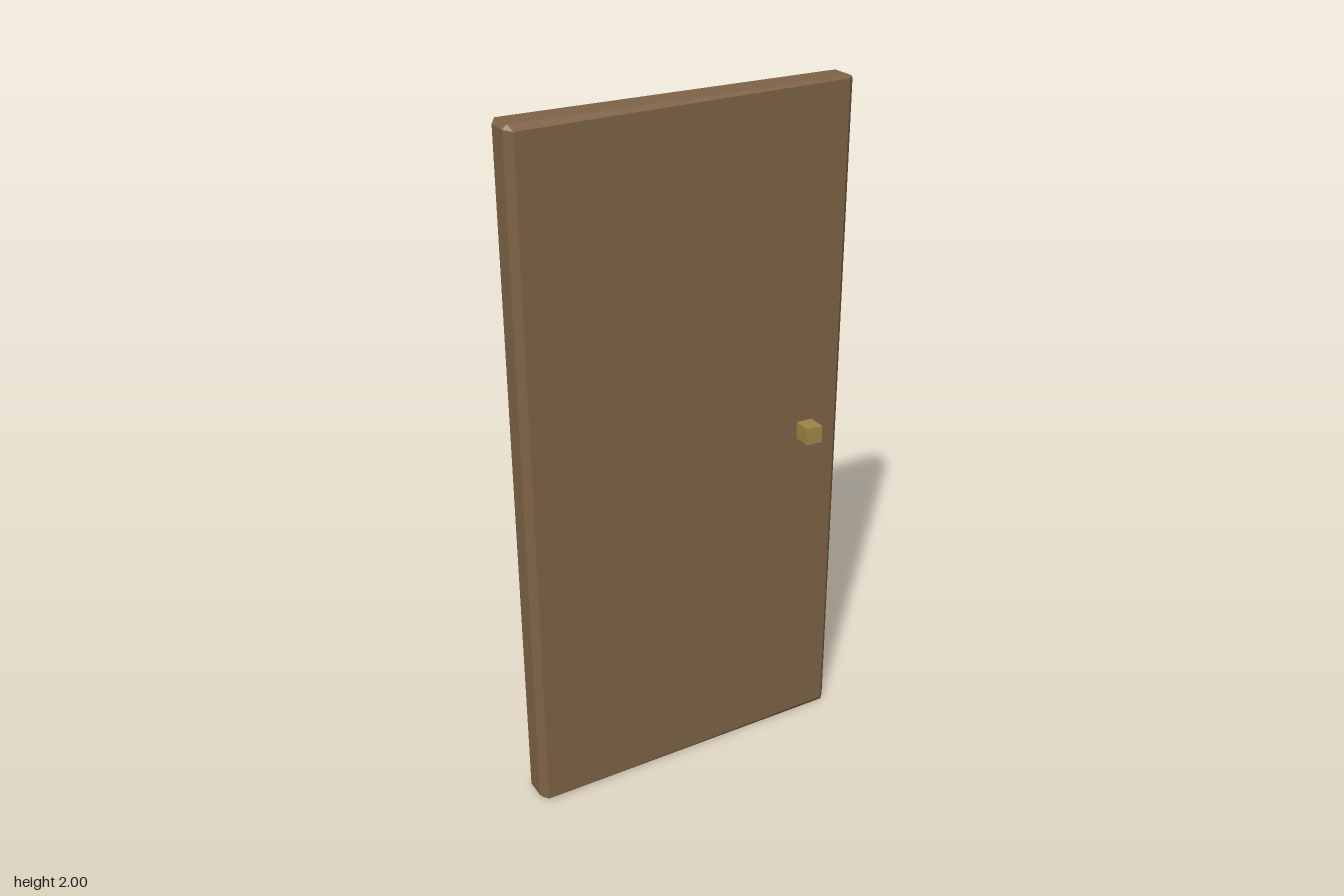
import * as THREE from 'three';
import { ConvexGeometry } from 'three/addons/geometries/ConvexGeometry.js';

const signs = [-1, 1];

// Box with hand-cut, slightly uneven chamfers: each corner becomes three points,
// one on each of the faces that meet there.
function chamferedBox(w, h, d, cut) {
  const points = [];
  for (const sx of signs) for (const sy of signs) for (const sz of signs) {
    const point = (ix, iy, iz) => points.push(
      new THREE.Vector3(sx * (w / 2 - ix), sy * (h / 2 - iy), sz * (d / 2 - iz)));
    point(0, cut * 0.6, cut);                              // side face
    point(cut * 0.6, 0, cut * (0.7 - 0.25 * sx * sz));     // top or bottom face
    point(cut, cut * (0.5 - 0.25 * sx * sy), 0);           // front or back face
  }
  return new ConvexGeometry(points);
}

export function createModel() {
  const group = new THREE.Group();

  // Door panel
  const panel = new THREE.Mesh(
    chamferedBox(1, 2, 0.1, 0.02),
    new THREE.MeshStandardMaterial({ color: 0x7d6246, flatShading: true }));
  panel.name = 'doorPanel';
  panel.position.set(0, 1, -0.03);
  group.add(panel);

  // Knob: a small block with a slightly slanted front
  const knobGeometry = new THREE.BoxGeometry(0.05, 0.05, 0.055);
  const p = knobGeometry.attributes.position;
  for (let i = 0; i < p.count; i++) {
    if (p.getZ(i) > 0) p.setZ(i, p.getZ(i) + p.getX(i) * 0.06 - p.getY(i) * 0.06);
  }
  knobGeometry.computeVertexNormals();
  const knob = new THREE.Mesh(knobGeometry,
    new THREE.MeshStandardMaterial({ color: 0x9c8345, flatShading: true }));
  knob.name = 'doorKnob';
  knob.position.set(0.375, 1.003, 0.0475);
  group.add(knob);

  return group;
}
